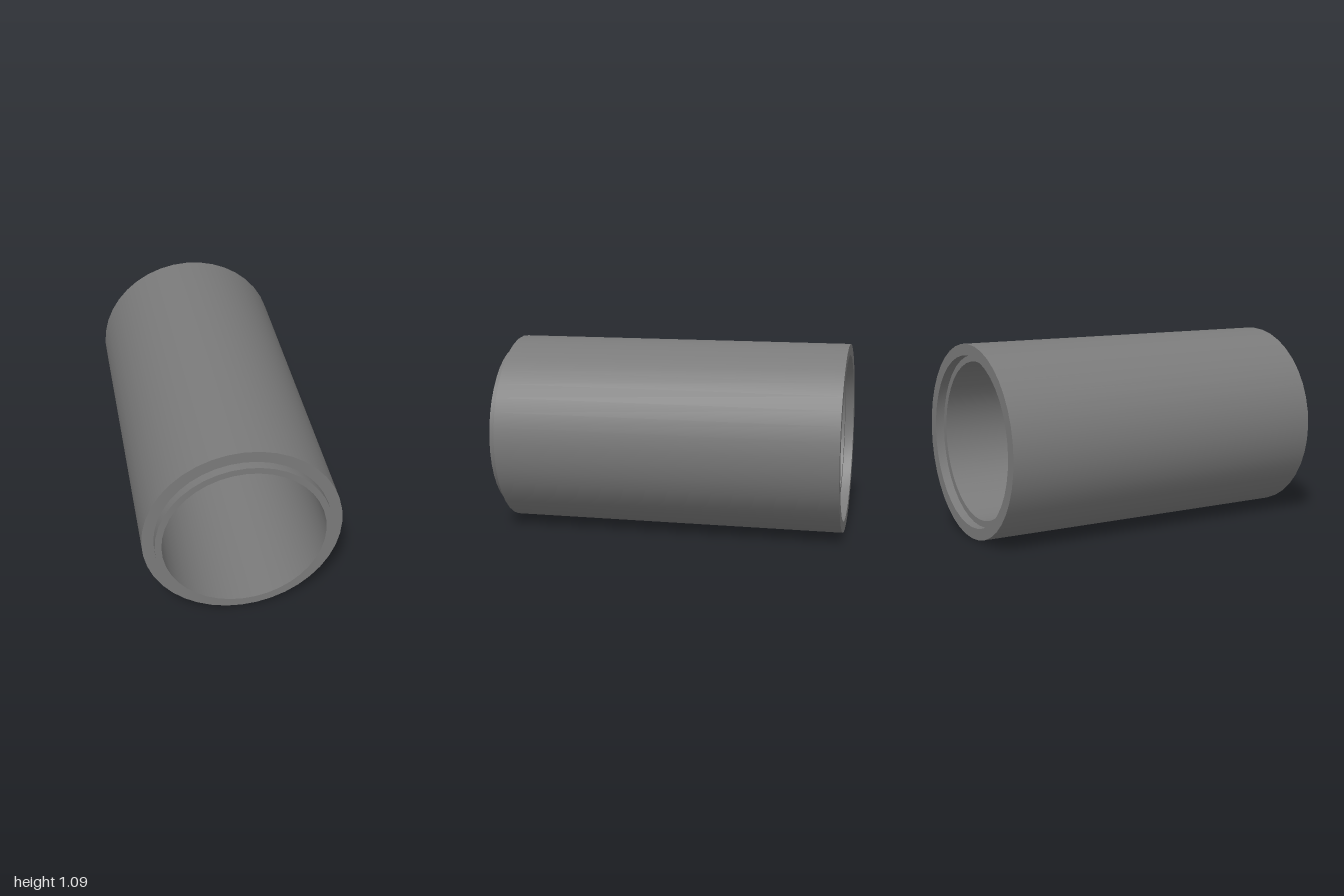
import * as THREE from 'three';
import { toCreasedNormals } from 'three/addons/utils/BufferGeometryUtils.js';

const OUTER = 0.543, JOINT = 0.479, BORE = 0.443; // radii
const HALF = 1, STEP = 0.05; // half length, joint depth
const SEGMENTS = 40;

export function createModel() {
  const group = new THREE.Group();
  group.name = 'pipeSection';

  // Closed wall section (radius, position along the axis):
  // spigot at the front end, matching socket recess at the back end
  const profile = [
    [JOINT, -HALF], [OUTER, -HALF],
    [OUTER, HALF - STEP], [JOINT, HALF - STEP],
    [JOINT, HALF], [BORE, HALF],
    [BORE, -HALF + STEP], [JOINT, -HALF + STEP],
    [JOINT, -HALF],
  ].map(([r, z]) => new THREE.Vector2(r, z));

  // Smooth round walls, sharp rims
  const geometry = toCreasedNormals(new THREE.LatheGeometry(profile, SEGMENTS), Math.PI / 6);
  geometry.rotateX(Math.PI / 2);

  const pipe = new THREE.Mesh(geometry, new THREE.MeshStandardMaterial({ color: 0x7a7a7a }));
  pipe.name = 'pipeWall';
  pipe.position.y = OUTER;
  group.add(pipe);
  return group;
}
